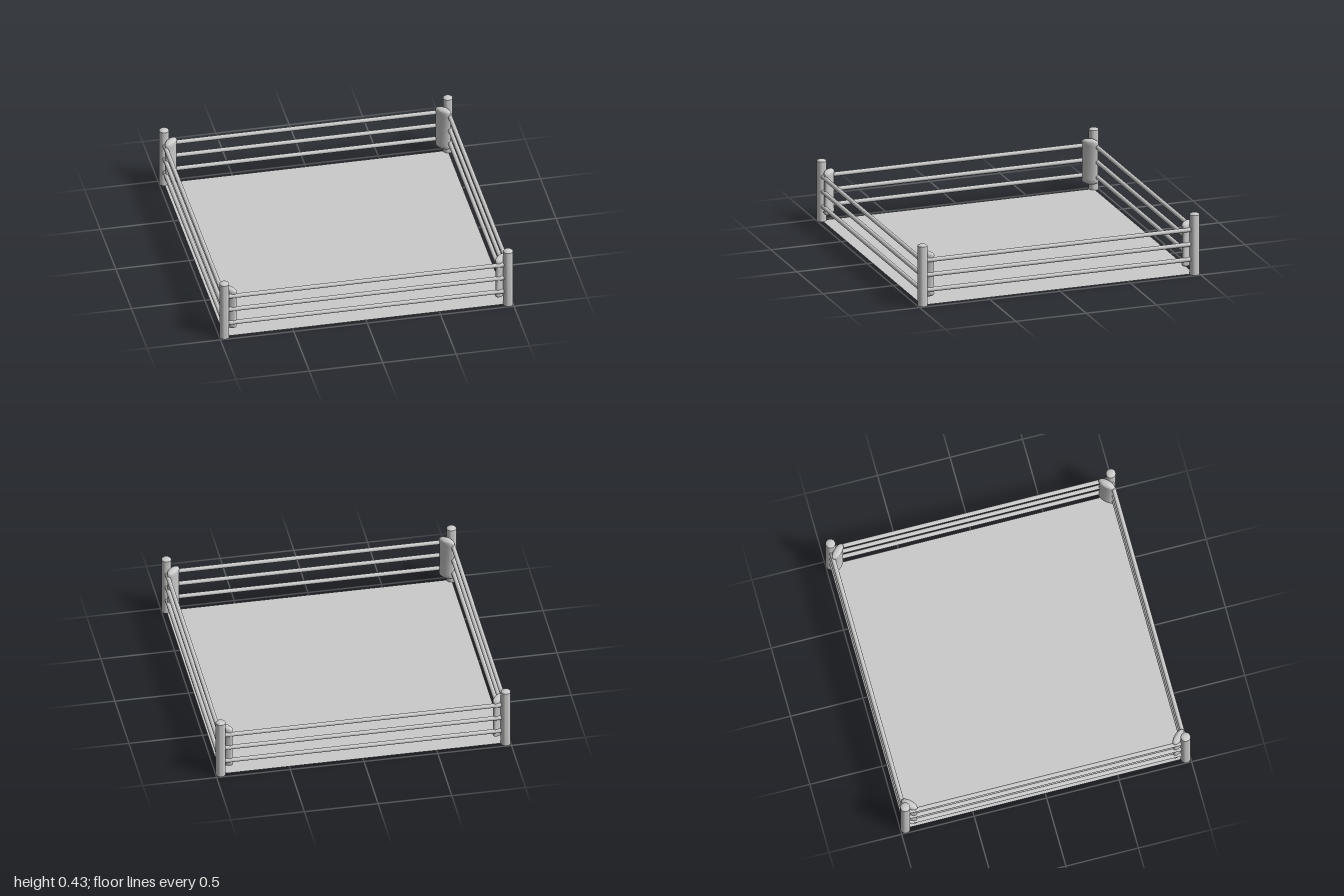
import * as THREE from 'three';
import { toCreasedNormals } from 'three/addons/utils/BufferGeometryUtils.js';

const C = 0.967; // distance of posts and ropes from the centre lines

export function createModel() {
  const ring = new THREE.Group();
  ring.name = 'fightingRing';
  const material = new THREE.MeshStandardMaterial({ color: 0xcccccc });
  const sheet = new THREE.MeshStandardMaterial({ color: 0xcccccc, side: THREE.DoubleSide });

  const add = (parent, name, geometry, mat = material) => {
    const mesh = new THREE.Mesh(geometry, mat);
    mesh.name = name;
    parent.add(mesh);
    return mesh;
  };
  const lathe = (points, sides) =>
    toCreasedNormals(new THREE.LatheGeometry(points.map(([r, y]) => new THREE.Vector2(r, y)), sides), 0.7);

  // thin canvas floor
  const canvas = add(ring, 'canvas', new THREE.PlaneGeometry(2 * C, 2 * C), sheet);
  canvas.rotation.x = -Math.PI / 2;
  canvas.position.y = 0.003;

  // shared shapes: shallow domed post, padded cushion with rounded ends, rope
  const postGeo = lathe([[0, 0], [0.033, 0], [0.033, 0.42], [0.027, 0.427], [0.015, 0.431], [0, 0.432]], 32);
  const profile = [];
  for (let i = 0; i <= 8; i++) {
    const a = -Math.PI / 2 + (i / 8) * (Math.PI / 2);
    profile.push([Math.max(0, Math.cos(a)), 0.077 + 0.027 * Math.sin(a)]);
  }
  profile.push([0.94, 0.092], [0.94, 0.328]);
  for (let i = 0; i <= 8; i++) {
    const a = (i / 8) * (Math.PI / 2);
    profile.push([i === 8 ? 0 : Math.cos(a), 0.343 + 0.027 * Math.sin(a)]);
  }
  // oval cushion section: wide across the corner, shallow along the diagonal
  const padGeo = toCreasedNormals(
    new THREE.LatheGeometry(profile.map(([r, y]) => new THREE.Vector2(r, y)), 32).scale(0.061, 1, 0.028), 0.7);
  const ropeGeo = new THREE.CylinderGeometry(0.015, 0.015, 2 * C, 16).rotateZ(Math.PI / 2);

  // four identical quarters: one corner and one side each
  for (let i = 0; i < 4; i++) {
    const quarter = new THREE.Group();
    quarter.name = 'ringSide' + (i + 1);
    quarter.rotation.y = (i * Math.PI) / 2;
    ring.add(quarter);

    add(quarter, 'post', postGeo).position.set(C, 0, C);

    const pad = add(quarter, 'cornerPad', padGeo);
    pad.position.set(0.928, 0, 0.928);
    pad.rotation.y = Math.PI / 4;

    for (const y of [0.107, 0.212, 0.315]) add(quarter, 'rope', ropeGeo).position.set(0, y, C);
  }
  return ring;
}
